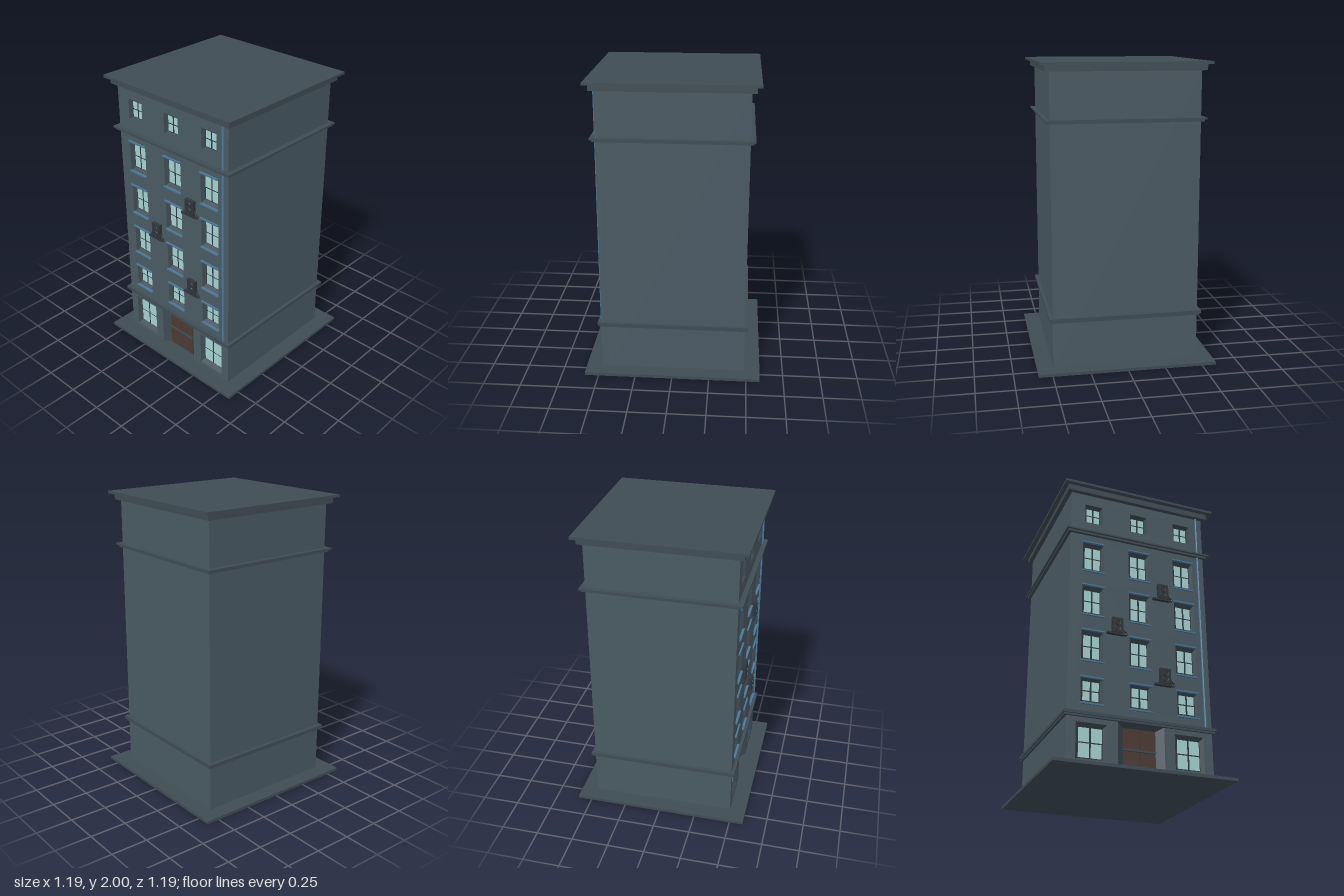
import * as THREE from 'three';

const mat = (color) => new THREE.MeshStandardMaterial({ color, flatShading: true });

export function createModel() {
  const model = new THREE.Group();
  const wall = mat(0x4a5a64), trim = mat(0x3f4c55), dark = mat(0x2c363c);
  const glass = mat(0xa6d2d2), blue = mat(0x4a7898), wood = mat(0x4c3a32), metal = mat(0x30363a);
  const HALF = 0.485, FRONT = 0.485, WALL = 0.05;

  const add = (parent, name, geo, material) => {
    const mesh = new THREE.Mesh(geo, material);
    mesh.name = name;
    parent.add(mesh);
    return mesh;
  };
  // Box given by its limits
  const box = (parent, name, material, x0, x1, y0, y1, z0, z1) =>
    add(parent, name, new THREE.BoxGeometry(x1 - x0, y1 - y0, z1 - z0), material)
      .position.set((x0 + x1) / 2, (y0 + y1) / 2, (z0 + z1) / 2);
  // Square storey-wide slab
  const slab = (name, half, y0, y1, material = trim) =>
    box(model, name, material, -half, half, y0, y1, -half, half);

  // Slanted reveal joining an outer rectangle to a deeper, smaller one
  const reveal = (o, i, zo, zi) => {
    const corners = (r) => [[r[0], r[2]], [r[1], r[2]], [r[1], r[3]], [r[0], r[3]]];
    const a = corners(o), b = corners(i), pos = [];
    for (let k = 0; k < 4; k++) {
      const n = (k + 1) % 4;
      const A = [...a[k], zo], B = [...a[n], zo], C = [...b[n], zi], D = [...b[k], zi];
      pos.push(...A, ...B, ...C, ...A, ...C, ...D);
    }
    const g = new THREE.BufferGeometry();
    g.setAttribute('position', new THREE.Float32BufferAttribute(pos, 3));
    g.computeVertexNormals();
    return g;
  };

  // Storeys and horizontal mouldings
  slab('pavement', 0.593, 0, 0.02);
  box(model, 'buildingCore', wall, -HALF, HALF, 0.02, 1.95, -HALF, FRONT - WALL);
  slab('lowerBandBase', 0.5, 0.325, 0.337);
  slab('lowerBand', 0.508, 0.337, 0.357);
  slab('upperBandBase', 0.505, 1.62, 1.634);
  slab('upperBand', 0.518, 1.634, 1.646);
  slab('cornice', 0.515, 1.943, 1.983);
  slab('roof', 0.546, 1.983, 2);

  // Window rows: outer half width and limits, glass half width and limits
  const rows = [
    { xs: [-0.325, 0.325], ow: 0.1, o: [0.05, 0.293], gw: 0.075, g: [0.08, 0.268] },
    { ow: 0.074, o: [0.415, 0.59], gw: 0.053, g: [0.444, 0.57], sills: true },
    { ow: 0.074, o: [0.7, 0.915], gw: 0.053, g: [0.73, 0.886], sills: true },
    { ow: 0.074, o: [1.023, 1.24], gw: 0.053, g: [1.053, 1.21], sills: true },
    { ow: 0.074, o: [1.345, 1.565], gw: 0.053, g: [1.376, 1.535], sills: true },
    { ow: 0.062, o: [1.725, 1.865], gw: 0.045, g: [1.74, 1.845] },
  ];

  // Front wall with openings
  const facade = new THREE.Shape();
  facade.moveTo(-HALF, 0.02).lineTo(-0.155, 0.02).lineTo(-0.155, 0.328).lineTo(0.155, 0.328)
    .lineTo(0.155, 0.02).lineTo(HALF, 0.02).lineTo(HALF, 1.95).lineTo(-HALF, 1.95).closePath();

  const makeWindow = (x, { ow, o, gw, g, sills }) => {
    const win = new THREE.Group();
    win.name = 'window';
    const zi = FRONT - 0.025, mid = (g[0] + g[1]) / 2, gap = 0.006;
    const inner = [x - gw - 0.005, x + gw + 0.005, g[0] - 0.005, g[1] + 0.005];
    add(win, 'windowReveal', reveal([x - ow, x + ow, ...o], inner, FRONT, zi), trim);
    box(win, 'windowFrame', dark, ...inner, zi - 0.01, zi);
    for (const s of [-1, 1]) for (const [y0, y1] of [[g[0], mid - 0.004], [mid + 0.004, g[1]]]) {
      const xa = x + s * gap, xb = x + s * gw;
      box(win, 'pane', glass, Math.min(xa, xb), Math.max(xa, xb), y0, y1, zi - 0.005, zi + 0.002);
    }
    if (sills) for (const y of o)
      box(win, 'sill', blue, x - ow - 0.003, x + ow + 0.003, y - 0.005, y + 0.005, FRONT - 0.012, FRONT + 0.011);
    model.add(win);
  };

  for (const row of rows) for (const x of row.xs ?? [-0.325, 0, 0.325]) {
    const { ow, o } = row;
    const hole = new THREE.Path();
    hole.moveTo(x - ow, o[0]).lineTo(x - ow, o[1]).lineTo(x + ow, o[1]).lineTo(x + ow, o[0]).closePath();
    facade.holes.push(hole);
    makeWindow(x, row);
  }
  add(model, 'facade', new THREE.ExtrudeGeometry(facade, { depth: WALL, bevelEnabled: false }), wall)
    .position.z = FRONT - WALL;

  // Double entrance door in a splayed recess
  const door = new THREE.Group();
  door.name = 'entrance';
  const zd = FRONT - 0.04;
  add(door, 'doorReveal', reveal([-0.155, 0.155, 0.02, 0.328], [-0.11, 0.11, 0.02, 0.305], FRONT, zd), trim);
  box(door, 'doorFrame', dark, -0.112, 0.112, 0.02, 0.307, zd - 0.008, zd);
  for (const s of [-1, 1]) for (const [y0, y1] of [[0.022, 0.157], [0.172, 0.303]]) {
    const xs = [s * 0.002, s * 0.108].sort((a, b) => a - b);
    box(door, 'doorPanel', wood, ...xs, y0, y1, zd - 0.005, zd + 0.004);
  }
  box(door, 'doorRail', trim, -0.11, 0.11, 0.159, 0.17, zd - 0.004, zd + 0.01);
  model.add(door);

  // Drainpipe at the front corner
  for (const [y0, y1] of [[0.357, 1.62], [1.646, 1.943]])
    add(model, 'drainpipe', new THREE.CylinderGeometry(0.008, 0.008, y1 - y0, 8), blue)
      .position.set(0.442, (y0 + y1) / 2, FRONT + 0.004);

  // Wall-mounted cooling units with shelf and hose
  for (const [x, y] of [[0.165, 1.22], [-0.16, 0.91], [0.165, 0.603]]) {
    const unit = new THREE.Group();
    unit.name = 'coolingUnit';
    box(unit, 'unitCase', metal, -0.037, 0.037, 0.015, 0.12, -0.005, 0.024);
    for (const h of [0.045, 0.085]) {
      const fan = add(unit, 'fanGrille', new THREE.TorusGeometry(0.018, 0.003, 5, 12), dark);
      fan.position.set(0, h, 0.025);
    }
    box(unit, 'shelf', metal, -0.072, 0.045, 0, 0.013, -0.005, 0.022);
    const path = new THREE.CatmullRomCurve3([[0.035, 0.055], [0.044, 0.035], [0.06, 0.022],
      [0.064, 0.01], [0.052, 0.004], [0.03, 0.006]].map(([a, b]) => new THREE.Vector3(a, b, 0.012)));
    add(unit, 'hose', new THREE.TubeGeometry(path, 16, 0.006, 6), metal);
    unit.position.set(x, y, FRONT);
    model.add(unit);
  }
  return model;
}
